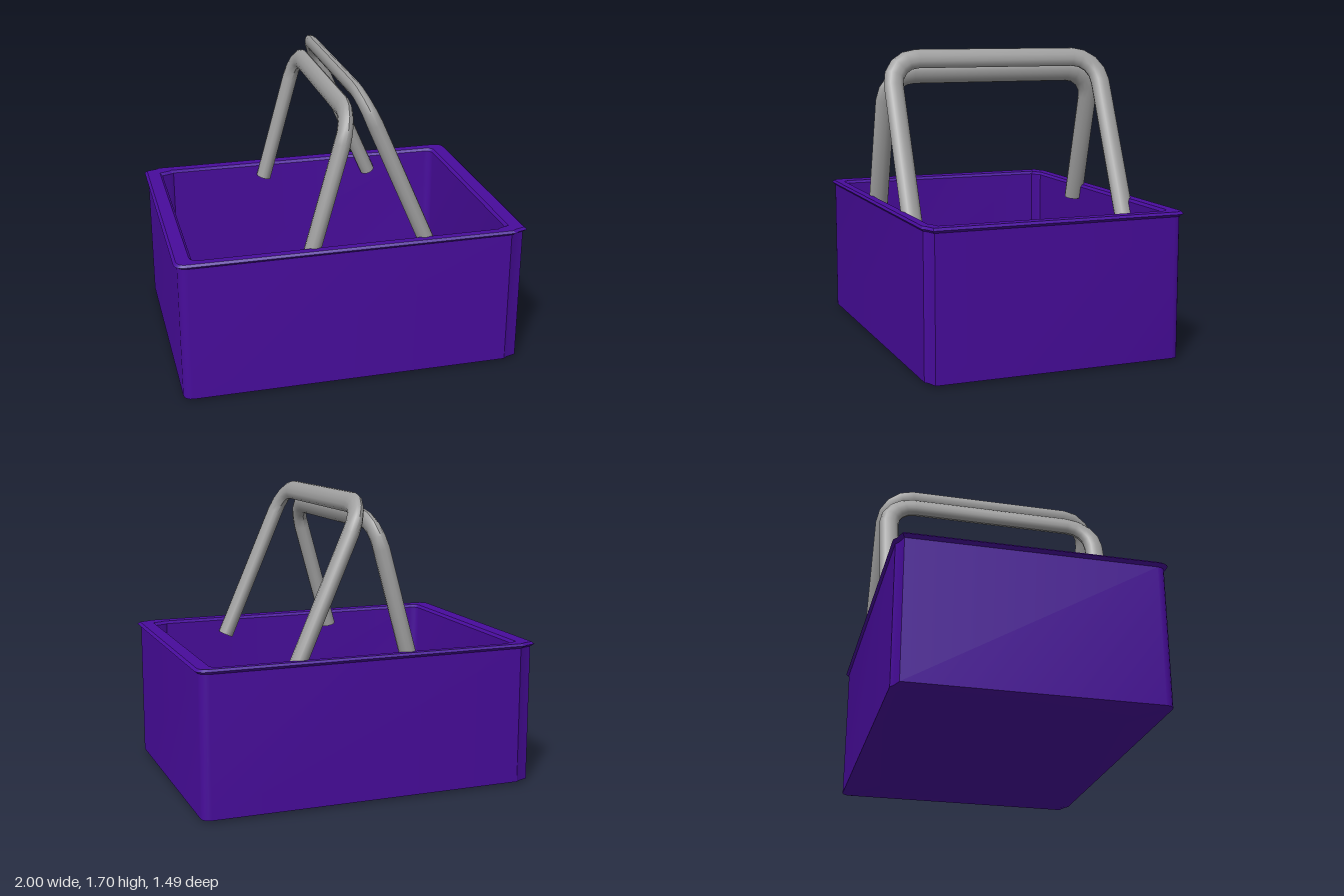
import * as THREE from 'three';
import { toCreasedNormals } from 'three/addons/utils/BufferGeometryUtils.js';

// Skin a stack of closed rings (counterclockwise about the path) and cap both ends.
function loft(rings, crease) {
  const n = rings[0].length, pos = [], idx = [];
  rings.forEach(r => r.forEach(p => pos.push(p.x, p.y, p.z)));
  for (let i = 0; i < rings.length - 1; i++) {
    for (let j = 0; j < n; j++) {
      const a = i * n + j, b = i * n + (j + 1) % n;
      idx.push(a, b, b + n, a, b + n, a + n);
    }
  }
  [0, rings.length - 1].forEach((i, end) => {
    const c = new THREE.Vector3();
    rings[i].forEach(p => c.addScaledVector(p, 1 / n));
    const k = pos.length / 3;
    pos.push(c.x, c.y, c.z);
    for (let j = 0; j < n; j++) {
      const a = i * n + j, b = i * n + (j + 1) % n;
      if (end) idx.push(k, a, b); else idx.push(k, b, a);
    }
  });
  const g = new THREE.BufferGeometry();
  g.setAttribute('position', new THREE.Float32BufferAttribute(pos, 3));
  g.setIndex(idx);
  return toCreasedNormals(g, crease);
}

// Plan of the basket: a seam strip at one corner, a rounded next corner, repeated by half turn.
function basketOutline() {
  const half = [[0.9, 0.73], [0.92, 0.715], [0.98, 0.695]];
  const r = 0.05;
  for (let i = 0; i <= 4; i++) {
    const a = i / 4 * Math.PI / 2;
    half.push([0.98 - r + r * Math.cos(a), -0.73 + r - r * Math.sin(a)]);
  }
  return [...half, ...half.map(([x, z]) => [-x, -z])];
}

function basketGeometry() {
  const plan = basketOutline();
  // half width, half depth, height: underside, outer wall, rolled rim, inner wall, floor
  const profile = [
    [0.94, 0.69, 0], [0.98, 0.73, 0.012], [0.98, 0.73, 0.805],
    [1.0, 0.745, 0.82], [0.985, 0.735, 0.833], [0.91, 0.685, 0.83],
    [0.895, 0.672, 0.815], [0.895, 0.672, 0.03],
  ];
  const rings = profile.map(([hx, hz, y]) =>
    plan.map(([x, z]) => new THREE.Vector3(x * hx / 0.98, y, z * hz / 0.73)));
  return loft(rings, 0.5);
}

// Upright hoop of flattened tube, feet at y = 0 and bar at y = height.
function hoopGeometry(height) {
  const hz = 0.645, r = 0.16, steps = 4, path = [[0, hz]];
  for (let i = 0; i <= steps; i++) {
    const a = i / steps * Math.PI / 2;
    path.push([height - r + r * Math.sin(a), hz - r + r * Math.cos(a)]);
  }
  const mirrored = path.map(([y, z]) => [y, -z]).reverse();
  const pts = [...path, ...mirrored].map(([y, z]) => new THREE.Vector3(0, y, z));
  const side = new THREE.Vector3(1, 0, 0);
  const rings = pts.map((p, i) => {
    const before = p.clone().sub(pts[Math.max(i - 1, 0)]).normalize();
    const after = pts[Math.min(i + 1, pts.length - 1)].clone().sub(p).normalize();
    const v = before.add(after).normalize().cross(side);
    // the grip bar is slimmer than the legs
    const slim = THREE.MathUtils.lerp(0.045, 0.037, Math.max(0, (p.y - height + r) / r));
    return Array.from({ length: 12 }, (_, j) => {
      const a = j / 12 * Math.PI * 2;
      return p.clone().addScaledVector(side, slim * Math.cos(a)).addScaledVector(v, 0.058 * Math.sin(a));
    });
  });
  return loft(rings, 0.7);
}

export function createModel() {
  const purple = new THREE.MeshStandardMaterial({ color: 0x480c9c });
  purple.name = 'purple';
  const grey = new THREE.MeshStandardMaterial({ color: 0xa0a0a0 });
  grey.name = 'grey';

  const model = new THREE.Group();
  model.name = 'shoppingBasket';

  const basket = new THREE.Mesh(basketGeometry(), purple);
  basket.name = 'basket';
  model.add(basket);

  // Two handles leaning together: foot x, foot y, bar x, bar y
  const handles = [
    ['leftHandle', 0.45, 0.73, 0.05, 1.645],
    ['rightHandle', -0.245, 0.75, -0.022, 1.555],
  ];
  for (const [name, fx, fy, tx, ty] of handles) {
    const handle = new THREE.Mesh(hoopGeometry(Math.hypot(tx - fx, ty - fy)), grey);
    handle.name = name;
    handle.position.set(fx, fy, -0.005);
    handle.rotation.z = -Math.atan2(tx - fx, ty - fy);
    model.add(handle);
  }
  return model;
}
